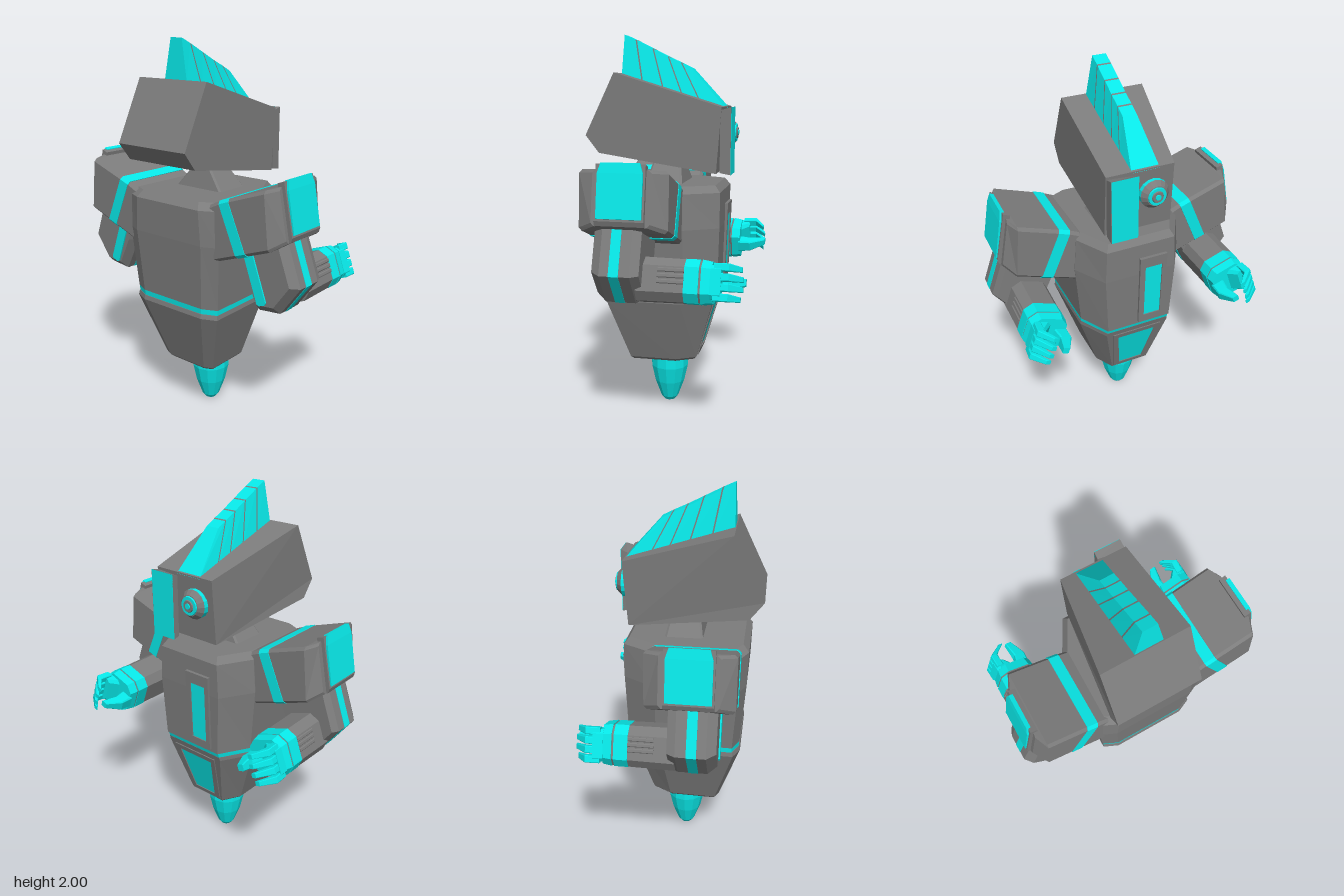
import * as THREE from 'three';

const grey = new THREE.MeshStandardMaterial({ color: 0x7c7c7c, flatShading: true });
const cyan = new THREE.MeshStandardMaterial({ color: 0x08e8e8, flatShading: true });

// Closed solid through a list of convex cross-sections (equal point counts), turned outward
function loft(sections) {
  const tris = [], n = sections[0].length, last = sections.length - 1;
  for (let i = 0; i < last; i++) for (let j = 0; j < n; j++) {
    const k = (j + 1) % n, A = sections[i], B = sections[i + 1];
    tris.push([A[j], A[k], B[k]], [A[j], B[k], B[j]]);
  }
  for (let j = 1; j < n - 1; j++) {
    tris.push([sections[0][0], sections[0][j + 1], sections[0][j]]);
    tris.push([sections[last][0], sections[last][j], sections[last][j + 1]]);
  }
  const v = (p) => new THREE.Vector3(...p);
  const o = v(sections[0][0]);
  let volume = 0;
  for (const [a, b, c] of tris) volume += v(a).sub(o).dot(v(b).sub(o).cross(v(c).sub(o)));
  const pos = tris.flatMap(([a, b, c]) => (volume > 0 ? [a, b, c] : [a, c, b])).flat();
  const g = new THREE.BufferGeometry();
  g.setAttribute('position', new THREE.Float32BufferAttribute(pos, 3));
  g.computeVertexNormals();
  return g;
}

function add(parent, name, geometry, material) {
  const m = new THREE.Mesh(geometry, material);
  m.name = name;
  parent.add(m);
  return m;
}

// Rectangle with cut corners
const oct = (a0, a1, b0, b1, c) => [
  [a0 + c, b0], [a1 - c, b0], [a1, b0 + c], [a1, b1 - c],
  [a1 - c, b1], [a0 + c, b1], [a0, b1 - c], [a0, b0 + c]];

// Eight-sided body outline at one height
function bodyRing(y, x0, x1, zh) {
  const w = x1 - x0;
  const half = [[x1, zh * 0.64], [x1 - w * 0.27, zh * 0.97], [x0 + w * 0.06, zh], [x0, zh * 0.72]];
  return [...half, ...half.map(([x, z]) => [x, -z]).reverse()].map(([x, z]) => [x, y, z]);
}

// Raised frame with an inset coloured panel; corners given as [z, y]
function framedPanel(parent, name, outer, inner, xAt) {
  const pts = (q) => q.map(([z, y]) => new THREE.Vector2(-z, y));
  const place = (shape, depth) => {
    const g = new THREE.ExtrudeGeometry(shape, { depth, bevelEnabled: false });
    const p = g.attributes.position;
    for (let i = 0; i < p.count; i++) {
      const a = p.getX(i), b = p.getY(i), d = p.getZ(i);
      p.setXYZ(i, xAt(b) + d, b, -a);
    }
    g.computeVertexNormals();
    return g;
  };
  const frame = new THREE.Shape(pts(outer));
  frame.holes.push(new THREE.Path(pts(inner)));
  add(parent, name + 'Frame', place(frame, 0.02), grey);
  add(parent, name, place(new THREE.Shape(pts(inner)), 0.014), cyan);
}

function makeBody() {
  const g = new THREE.Group();
  g.name = 'body';
  add(g, 'torso', loft([
    bodyRing(0.692, -0.345, 0.25, 0.28), bodyRing(1.03, -0.37, 0.262, 0.305),
    bodyRing(1.21, -0.375, 0.262, 0.29), bodyRing(1.245, -0.345, 0.235, 0.262)]), grey);
  add(g, 'waistBand', loft([bodyRing(0.66, -0.342, 0.235, 0.276), bodyRing(0.695, -0.345, 0.245, 0.278)]), cyan);
  add(g, 'hull', loft([
    bodyRing(0.285, -0.225, 0.115, 0.155), bodyRing(0.3, -0.24, 0.13, 0.17),
    bodyRing(0.64, -0.35, 0.23, 0.28), bodyRing(0.664, -0.346, 0.237, 0.277)]), grey);
  framedPanel(g, 'chestPanel',
    [[0.01, 0.71], [-0.14, 0.71], [-0.14, 1.13], [0.01, 1.13]],
    [[-0.02, 0.75], [-0.115, 0.75], [-0.115, 1.07], [-0.02, 1.07]],
    (y) => 0.243 + (y - 0.69) * 0.035);
  framedPanel(g, 'hullPanel',
    [[0.1, 0.31], [-0.1, 0.31], [-0.14, 0.63], [0.14, 0.63]],
    [[0.07, 0.335], [-0.07, 0.335], [-0.11, 0.6], [0.11, 0.6]], (y) => 0.117 + (y - 0.3) * 0.293);
  const profile = [[0, 0], [0.03, 0.003], [0.048, 0.025], [0.083, 0.12], [0.103, 0.21], [0.103, 0.295], [0, 0.295]];
  add(g, 'tailCone', new THREE.LatheGeometry(profile.map((p) => new THREE.Vector2(...p)), 12), cyan)
    .position.set(-0.04, 0, 0);
  const neck = (y, x0, x1, z) => oct(x0, x1, -z, z, 0.01).map(([a, b]) => [a, y, b]);
  add(g, 'neck', loft([neck(1.23, -0.14, 0.06, 0.16), neck(1.37, -0.11, 0.03, 0.045)]), grey);
  return g;
}

function makeHead() {
  const g = new THREE.Group();
  g.name = 'head';
  // Skull: one flat side, the other narrowing toward the face
  const outline = [[0.24, 1.305], [0.265, 1.635], [-0.285, 1.805], [-0.44, 1.49], [-0.37, 1.4]];
  const farSide = (x) => -0.255 + 0.095 * Math.max(0, (x + 0.29) / 0.56);
  add(g, 'skull', loft([outline.map(([x, y]) => [x, y, 0.19]), outline.map(([x, y]) => [x, y, farSide(x)])]), grey);
  // Crest: blades separated by narrow grey seams
  const station = ([bx, by, bw, tx, ty, tw]) => {
    const c = -0.012;
    return [[bx, by, c - bw], [bx, by, c + bw], [tx, ty, c + tw], [tx, ty, c - tw]];
  };
  const cuts = [[-0.28, -0.272, 2.0], [-0.17, -0.21, 1.972], [-0.06, -0.12, 1.927],
    [0.04, -0.04, 1.887], [0.13, 0.03, 1.855], [0.265, 0.085, 1.828]];
  const at = (i, dx) => {
    const [b, t, y] = cuts[i];
    return station([b + dx, 1.795 - 0.305 * (b + dx + 0.285), 0.073, t + dx, y - dx * 0.5, 0.036]);
  };
  for (let i = 0; i < 5; i++) {
    add(g, 'crestBlade', loft([at(i, i ? 0.004 : 0), at(i + 1, i < 4 ? -0.004 : 0)]), cyan);
    if (i) add(g, 'crestSeam', loft([at(i, -0.004), at(i, 0.004)]), grey);
  }
  // Hinged wedge plate beside the eye
  const plate = (bx, fx, y0, y1, z) => [[bx, y0, z], [fx, y0 - 0.01, z], [fx, y1 + 0.015, z], [bx, y1, z]];
  add(g, 'facePlate', loft([plate(0.258, 0.312, 1.31, 1.62, 0.185), plate(0.278, 0.312, 1.31, 1.62, 0.045)]), grey);
  add(g, 'facePlateCover', loft([plate(0.31, 0.314, 1.31, 1.62, 0.182), plate(0.31, 0.314, 1.31, 1.62, 0.045)]), cyan);
  // Eye: stacked rings
  for (const [name, r0, r1, x0, x1, mat] of [
    ['eyeBase', 0.075, 0.075, 0.24, 0.28, cyan], ['eyeRim', 0.075, 0.052, 0.28, 0.305, grey],
    ['eyeRing', 0.05, 0.046, 0.3, 0.312, cyan], ['eyeLens', 0.032, 0.028, 0.31, 0.318, grey],
    ['eyePupil', 0.016, 0.014, 0.315, 0.322, cyan]]) {
    const m = add(g, name, new THREE.CylinderGeometry(r1, r0, x1 - x0, 16), mat);
    m.rotation.z = -Math.PI / 2;
    m.position.set((x0 + x1) / 2, 1.5, -0.055);
  }
  return g;
}

function makeArm(s, name) {
  const g = new THREE.Group();
  g.name = name;
  // Tilted arm space: u points outward, v upward, measured from the top of the shoulder joint
  const P = (x, u, v) => [x, 1.24 + 0.34 * u + 0.94 * v, s * (0.27 + 0.94 * u - 0.34 * v)];
  // Sections across the shoulder; lean pulls the lower edge inward
  const alongU = (u, x0, x1, v0, v1, c, lean = 0) =>
    oct(x0, x1, v0, v1, c).map(([x, v]) => P(x, u + lean * v, v));
  const alongX = (x, u0, u1, v0, v1, c) => oct(u0, u1, v0, v1, c).map(([u, v]) => P(x, u, v));
  const alongV = (v, x0, x1, u0, u1) => [[x0, u0], [x1, u0], [x1, u1], [x0, u1]].map(([x, u]) => P(x, u, v));

  // Shoulder block with stripe and outer badge plate
  add(g, 'shoulder', loft([alongU(-0.08, -0.34, 0.088, -0.27, 0, 0.015), alongU(0.05, -0.34, 0.088, -0.27, 0.012, 0.015),
    alongU(0.32, -0.34, 0.088, -0.27, 0.008, 0.015, 0.25), alongU(0.352, -0.265, 0.015, -0.255, 0.003, 0.015, 0.16)]), grey);
  add(g, 'shoulderStripe', loft([0.043, 0.103].map((u) => alongU(u, -0.343, 0.091, -0.273, 0.014, 0.016, -0.06))), cyan);
  add(g, 'shoulderPlateRim', loft([alongV(-0.255, -0.245, -0.01, 0.28, 0.32), alongV(-0.235, -0.245, -0.01, 0.28, 0.335),
    alongV(0.024, -0.245, -0.01, 0.335, 0.372)]), grey);
  add(g, 'shoulderPlate', loft([alongV(-0.225, -0.235, -0.02, 0.3, 0.343), alongV(-0.02, -0.235, -0.02, 0.345, 0.377),
    alongV(0.028, -0.22, -0.035, 0.36, 0.382)]), cyan);

  // Upper arm and elbow, bevelled at front and back
  const limb = [[-0.01, -0.2], [0.285, -0.2], [0.285, -0.48], [0.13, -0.585], [0.01, -0.555], [-0.012, -0.35]];
  const limbAt = (x, k) => limb.map(([u, v]) => P(x, 0.137 + (u - 0.137) * k, -0.38 + (v + 0.38) * k));
  add(g, 'upperArm', loft([limbAt(-0.26, 0.8), limbAt(-0.215, 1), limbAt(-0.07, 1), limbAt(-0.03, 0.9)]), grey);
  add(g, 'upperArmStripe', loft([limbAt(-0.17, 1.012), limbAt(-0.122, 1.012)]), cyan);
  add(g, 'elbowStrip', loft([-0.268, -0.24].map((x) => alongX(x, 0.045, 0.1, -0.525, -0.25, 0.01))), cyan);

  // Forearm with raised ribs, then cuffs
  const sleeve = (x, r) => alongX(x, 0.107 - r, 0.107 + r, -0.469 - r, -0.469 + r, r * 0.4);
  for (const [part, x0, x1, r0, r1, mat] of [
    ['forearm', -0.06, 0.165, 0.103, 0.1, grey], ['cuff', 0.165, 0.233, 0.102, 0.102, cyan],
    ['wristRing', 0.233, 0.243, 0.098, 0.098, grey], ['wristCuff', 0.243, 0.29, 0.102, 0.095, cyan]]) {
    add(g, part, loft([sleeve(x0, r0), sleeve(x1, r1)]), mat);
  }
  for (const v of [-0.48, -0.453, -0.426]) {
    add(g, 'forearmRib', loft([0.04, 0.165].map((x) => alongX(x, 0.19, 0.214, v - 0.01, v + 0.01, 0.004))), grey);
  }

  // Hand: four curved fingers outside and a thumb inside
  const digit = (part, path, h) => add(g, part, loft(path.map(([x, u, v, r]) =>
    alongX(x, u - r, u + r, v - r * h, v + r * h, r * 0.2))), cyan);
  add(g, 'palm', loft([alongX(0.285, 0.1, 0.205, -0.55, -0.39, 0.02), alongX(0.335, 0.145, 0.208, -0.545, -0.395, 0.015)]), cyan);
  for (let i = 0; i < 4; i++) {
    const v = -0.4 - i * 0.046, reach = [0.422, 0.43, 0.43, 0.42][i];
    digit('finger', [[0.3, 0.185, v, 0.018], [0.37, 0.19, v, 0.018], [reach, 0.125, v - 0.002, 0.012]], 1);
  }
  digit('thumb', [[0.28, 0.04, -0.47, 0.036], [0.35, 0.032, -0.465, 0.03], [0.435, 0.06, -0.455, 0.017]], 1);
  return g;
}

export function createModel() {
  const model = new THREE.Group();
  model.name = 'robot';
  model.add(makeBody(), makeHead(), makeArm(1, 'nearArm'), makeArm(-1, 'farArm'));
  return model;
}
